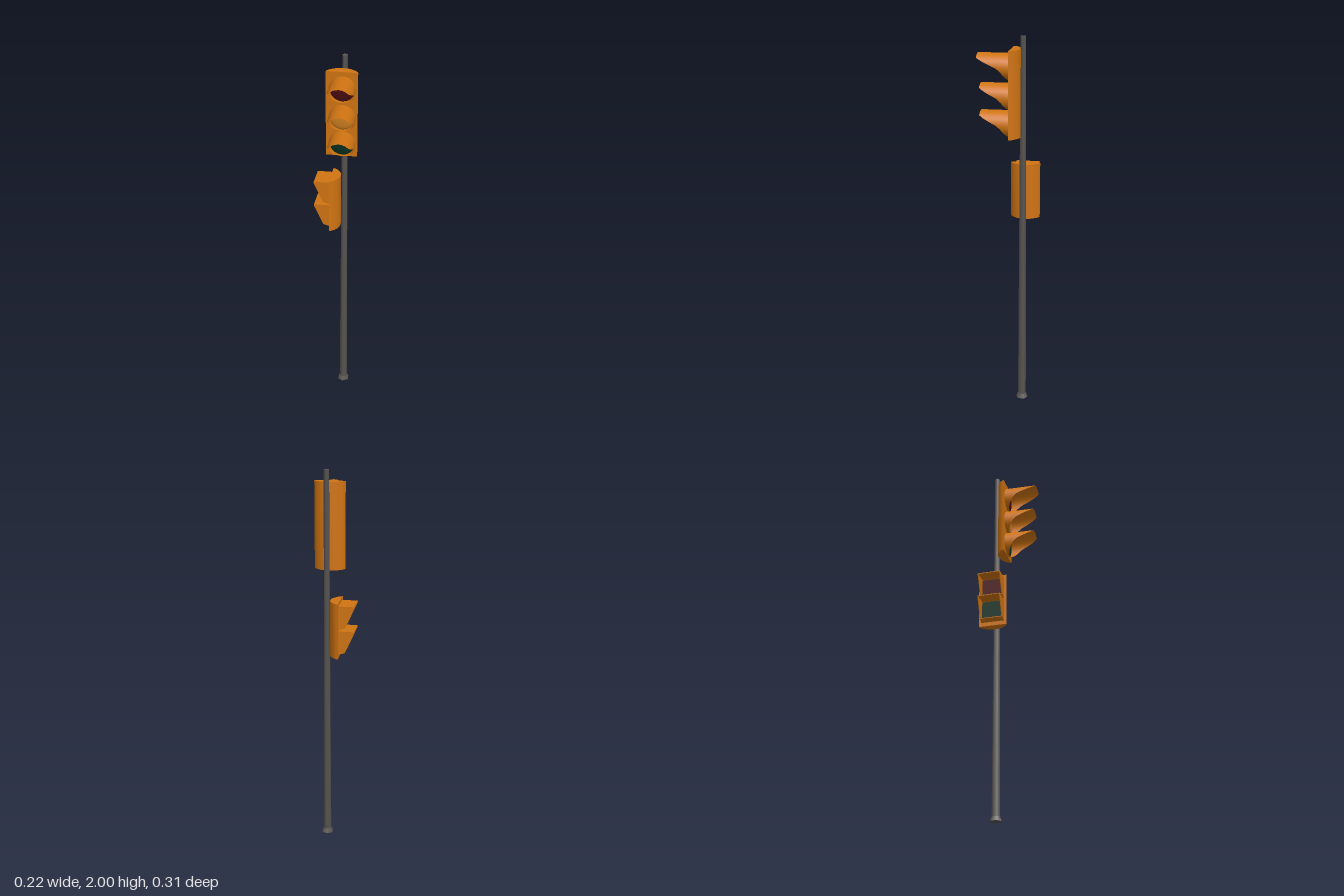
import * as THREE from 'three';
import { toCreasedNormals } from 'three/addons/utils/BufferGeometryUtils.js';

const mat = (color, side = THREE.FrontSide) => new THREE.MeshStandardMaterial({ color, side });
const orange = mat(0xd07412);
const hoodMat = mat(0xd07412, THREE.DoubleSide);
const grey = mat(0x585552);
const red = mat(0x4a0c10);
const amber = mat(0xd08020);
const green = mat(0x0a3020);

function add(parent, name, geometry, material, x = 0, y = 0, z = 0) {
  const mesh = new THREE.Mesh(geometry, material);
  mesh.name = name;
  mesh.position.set(x, y, z);
  parent.add(mesh);
  return mesh;
}

// Housing with a flat front at z = 0 and a rounded back
function housing(w, h) {
  const half = [[1, 0], [0.94, 0.012], [0.8, 0.025], [0.5, 0.042], [0.2, 0.05]];
  const pts = half.map(([u, v]) => new THREE.Vector2(u * w, v));
  pts.push(...half.map(([u, v]) => new THREE.Vector2(-u * w, v)).reverse());
  const g = new THREE.ExtrudeGeometry(new THREE.Shape(pts), { depth: h, bevelEnabled: false });
  g.rotateX(-Math.PI / 2);
  return toCreasedNormals(g, 0.7);
}

// Round cutaway hood: a tube whose length shrinks from the top to the bottom
function roundHood(r, length) {
  const reach = (y) => {
    if (y > 0.042) return length;
    if (y > -0.005) return THREE.MathUtils.mapLinear(y, -0.005, 0.042, 0.055, length - 0.006);
    return THREE.MathUtils.mapLinear(y, -r, -0.005, 0.012, 0.055);
  };
  const g = new THREE.CylinderGeometry(r, r, 1, 24, 3, true);
  g.rotateX(Math.PI / 2);
  const p = g.attributes.position;
  for (let i = 0; i < p.count; i++) {
    const z = (p.getZ(i) + 0.5) * reach(p.getY(i));
    p.setXYZ(i, p.getX(i) + z * 0.045, p.getY(i), z);
  }
  g.computeVertexNormals();
  return g;
}

// Shallow domed lens facing +z
function lens(r) {
  const g = new THREE.SphereGeometry(r, 20, 6, 0, Math.PI * 2, 0, Math.PI / 2);
  g.rotateX(Math.PI / 2);
  g.scale(1, 1, 0.2);
  return g;
}

// Square hood: two tapering cheeks, a roof and a short floor
function squareHood(w, h, length) {
  const group = new THREE.Group();
  group.name = 'squareHood';
  const t = 0.004;
  const cheek = new THREE.Shape([
    [0, 0], [0.033, 0.01], [length, h - 0.01], [length, h], [0, h],
  ].map(([z, y]) => new THREE.Vector2(z, y)));
  for (const side of [-1, 1]) {
    const g = new THREE.ExtrudeGeometry(cheek, { depth: t, bevelEnabled: false });
    g.rotateY(-Math.PI / 2);
    g.translate(t / 2, 0, 0);
    add(group, 'hoodCheek', g, orange, side * (w - t) / 2, 0, 0);
  }
  add(group, 'hoodRoof', new THREE.BoxGeometry(w, t, length), orange, 0, h - t / 2, length / 2);
  const floor = add(group, 'hoodFloor', new THREE.BoxGeometry(w, t, 0.034), orange, 0, 0.006, 0.017);
  floor.rotation.x = -0.29;
  return group;
}

export function createModel() {
  const model = new THREE.Group();
  model.name = 'trafficLight';

  // Pole with flared foot
  const pole = new THREE.Group();
  pole.name = 'pole';
  pole.position.set(0.038, 0, -0.075);
  model.add(pole);
  add(pole, 'poleShaft', new THREE.CylinderGeometry(0.014, 0.022, 1.98, 6), grey, 0, 1.01, 0);
  add(pole, 'poleFoot', new THREE.CylinderGeometry(0.023, 0.033, 0.024, 6), grey, 0, 0.012, 0);

  // Vehicle signal facing the front
  const vehicle = new THREE.Group();
  vehicle.name = 'vehicleSignal';
  vehicle.position.set(0.032, 1.485, -0.013);
  model.add(vehicle);
  add(vehicle, 'vehicleHousing', housing(0.08, 0.45), orange);
  [[0.361, red, 0.168], [0.21, amber, 0.154], [0.07, green, 0.154]].forEach(([y, m, length]) => {
    add(vehicle, 'roundLens', lens(0.064), m, 0.003, y, 0.001);
    add(vehicle, 'roundHood', roundHood(0.067, length), hoodMat, 0.003, y, 0);
  });

  // Pedestrian signal facing the model's right
  const walk = new THREE.Group();
  walk.name = 'pedestrianSignal';
  walk.position.set(-0.032, 1.04, -0.077);
  walk.rotation.y = -Math.PI / 2;
  model.add(walk);
  add(walk, 'pedestrianHousing', housing(0.077, 0.295), orange);
  [[0.155, red], [0.022, green]].forEach(([y, m]) => {
    add(walk, 'squareLens', new THREE.BoxGeometry(0.115, 0.112, 0.006), m, 0, y + 0.062, 0.002);
    const hood = squareHood(0.123, 0.125, 0.081);
    hood.position.y = y;
    walk.add(hood);
  });

  return model;
}
